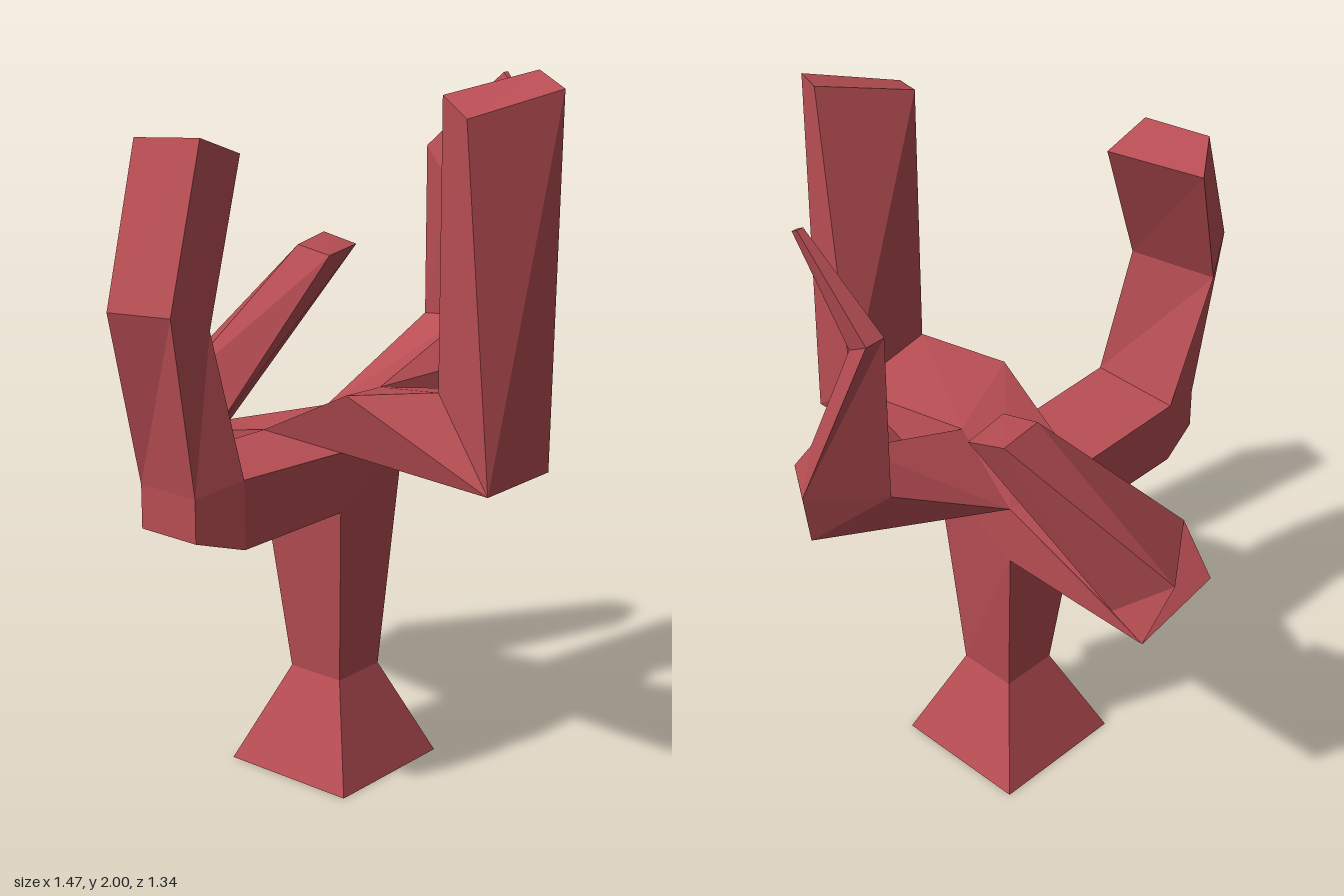
import * as THREE from 'three';

const coral = new THREE.MeshStandardMaterial({ color: 0xb84e54, flatShading: true });
coral.name = 'coral red';

// Skins a chain of four-cornered rings, closing the far end (and the near end if asked)
function loft(name, rings, capStart = false) {
  const pos = [];
  const v = (p) => new THREE.Vector3(...p);
  const tri = (a, b, c) => {
    const area = new THREE.Triangle(v(a), v(b), v(c)).getArea();
    if (area > 1e-6) pos.push(...a, ...b, ...c);
  };
  const quad = (a, b, c, d) => { tri(a, b, c); tri(a, c, d); };
  for (let r = 0; r < rings.length - 1; r++) {
    const lo = rings[r], hi = rings[r + 1];
    for (let i = 0; i < 4; i++) {
      const j = (i + 1) % 4;
      quad(lo[i], lo[j], hi[j], hi[i]);
    }
  }
  quad(...rings[rings.length - 1]);
  if (capStart) quad(...[...rings[0]].reverse());
  const geo = new THREE.BufferGeometry();
  geo.setAttribute('position', new THREE.Float32BufferAttribute(pos, 3));
  geo.computeVertexNormals();
  const mesh = new THREE.Mesh(geo, coral);
  mesh.name = name;
  return mesh;
}

// Horizontal rectangle: front left, front right, back right, back left
const rect = (x0, x1, z0, z1, y) => [[x0, y, z1], [x1, y, z1], [x1, y, z0], [x0, y, z0]];

export function createModel() {
  const group = new THREE.Group();
  group.name = 'branching coral';

  // Shared corners of the hub where the branches meet
  const lowFL = [-0.11, 0.8, 0.135], lowBL = [-0.11, 0.8, -0.14], lowBR = [0.16, 0.81, -0.14];
  const midFL = [-0.11, 0.97, 0.135], midFR = [0.16, 0.95, 0.135];
  const midBR = [0.16, 0.99, -0.14], midBL = [-0.11, 0.98, -0.14];
  const topL = [-0.155, 1.15, 0.19], topR = [0.1, 1.1, 0.1];

  // Flared foot, stem and hub
  group.add(loft('trunk', [
    rect(-0.18, 0.23, -0.205, 0.205, 0),
    rect(-0.06, 0.11, -0.085, 0.09, 0.28),
    [lowFL, midFR, lowBR, lowBL],
    [midFL, midFR, midBR, midBL],
    [topL, topR, midBR, midBL],
  ], true));

  // Tall front branch
  group.add(loft('frontBranch', [
    [midFL, midFR, topR, topL],
    [[-0.11, 0.95, 0.62], [0.16, 0.95, 0.62], [0.21, 1.13, 0.42], [-0.06, 1.18, 0.42]],
    [[-0.12, 1.91, 0.54], [0.11, 1.97, 0.67], [0.17, 2, 0.55], [-0.06, 1.95, 0.42]],
  ]));

  // Short back branch, bending toward +x
  const backInner = [[-0.055, 0.92, -0.37], [0.17, 0.87, -0.52]];
  group.add(loft('backBranch', [
    [lowBR, lowBL, midBL, midBR],
    [[0.16, 0.81, -0.62], [-0.11, 0.87, -0.62], ...backInner],
    [[0.1, 1, -0.67], [-0.12, 1, -0.51], ...backInner],
    [[0.385, 1.425, -0.34], [0.24, 1.415, -0.315], [0.255, 1.395, -0.21], [0.405, 1.4, -0.235]],
  ]));

  // Hooked branch on the -x side
  const rightInner = [[-0.49, 0.99, 0.13], [-0.49, 0.99, -0.14]];
  group.add(loft('rightBranch', [
    [lowBL, lowFL, midFL, midBL],
    [[-0.49, 0.8, -0.14], [-0.49, 0.8, 0.13], ...rightInner],
    [[-0.62, 0.84, -0.11], [-0.62, 0.84, 0.08], ...rightInner],
    [[-0.62, 0.96, -0.11], [-0.62, 0.96, 0.08], ...rightInner],
    [[-0.735, 1.44, -0.1], [-0.68, 1.44, 0.065], [-0.55, 1.385, 0.075], [-0.61, 1.38, -0.17]],
    [[-0.555, 1.845, -0.17], [-0.5, 1.855, 0.005], [-0.37, 1.8, 0.02], [-0.455, 1.79, -0.24]],
  ]));

  // Tapering branch on the +x side
  const leftInner = [[0.52, 1.2, -0.07], [0.47, 1.23, 0.115]];
  group.add(loft('leftBranch', [
    [midFR, midBR, midBR, topR],
    [[0.56, 1.145, 0.26], [0.715, 1.12, 0.02], ...leftInner],
    [[0.56, 1.25, 0.185], [0.735, 1.265, 0.02], ...leftInner],
    [[0.53, 1.6, 0.05], [0.58, 1.69, -0.07], [0.52, 1.69, -0.07], [0.47, 1.6, 0.05]],
    [[0.55, 1.88, 0.215], [0.575, 1.915, 0.165], [0.555, 1.915, 0.165], [0.535, 1.88, 0.215]],
  ]));

  return group;
}
